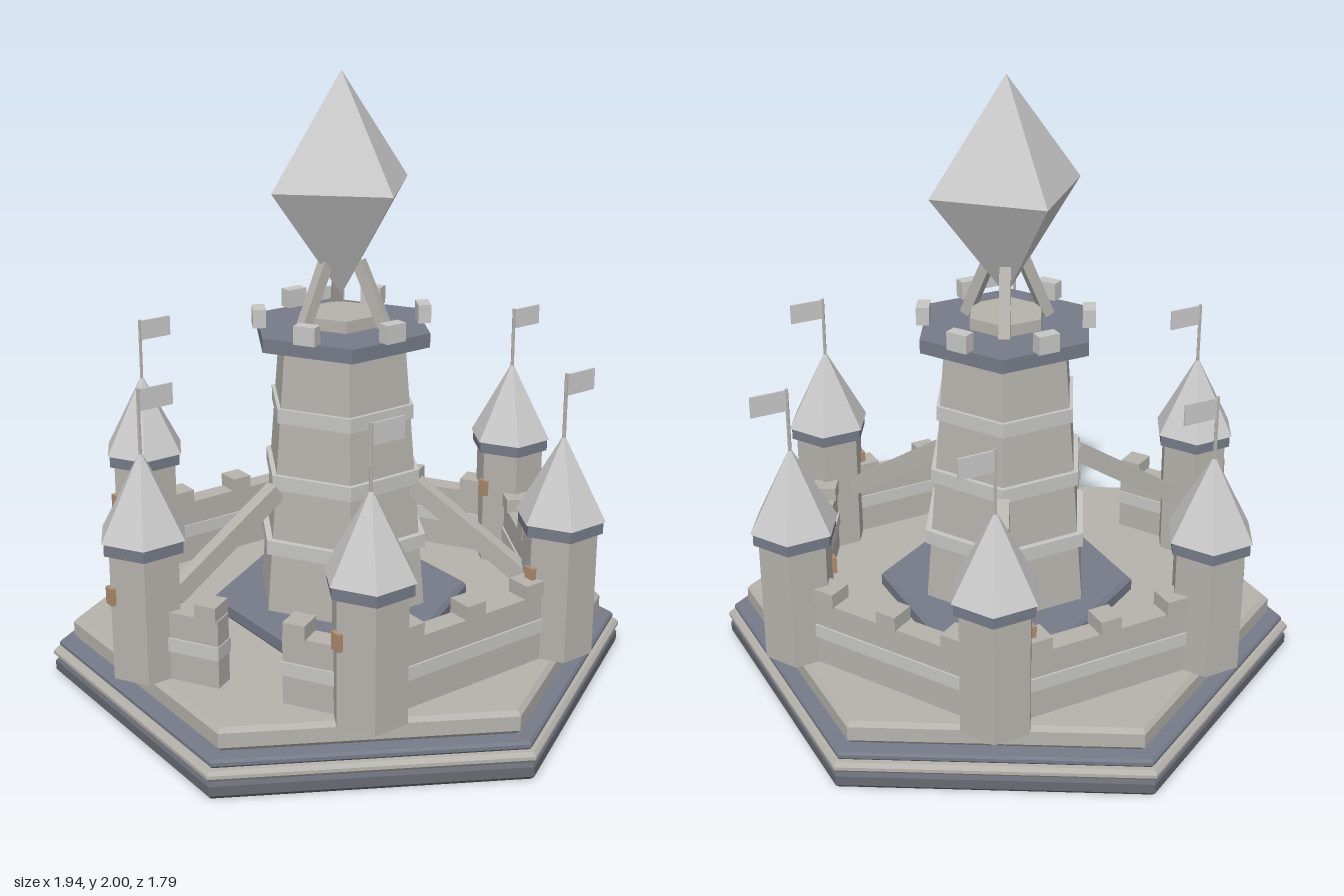
import * as THREE from 'three';

const mat = (name, color) => new THREE.MeshStandardMaterial({ name, color });

export function createModel() {
  const stone = mat('stone', 0xb6b3ad);
  const trim = mat('pale trim', 0xc6c6c5);
  const slate = mat('slate', 0x767b88);
  const foundation = mat('dark foundation', 0x676a72);
  const silver = mat('silver', 0xc9c9c9);
  const wood = mat('wood', 0xb08e70);
  const model = new THREE.Group();
  model.name = 'castle';

  // Faceted mesh: every face gets its own normal
  function add(parent, name, geometry, material, x = 0, y = 0, z = 0) {
    const g = geometry.index ? geometry.toNonIndexed() : geometry;
    g.computeVertexNormals();
    const mesh = new THREE.Mesh(g, material);
    mesh.name = name;
    mesh.position.set(x, y, z);
    parent.add(mesh);
    return mesh;
  }
  function group(parent, name, x = 0, y = 0, z = 0, turn = 0) {
    const g = new THREE.Group();
    g.name = name;
    g.position.set(x, y, z);
    g.rotation.y = turn;
    parent.add(g);
    return g;
  }
  const box = (w, h, d) => new THREE.BoxGeometry(w, h, d);
  // Six-sided prism between two heights, with a corner towards +z
  const hex = (parent, name, rBottom, rTop, y0, y1, material) =>
    add(parent, name, new THREE.CylinderGeometry(rTop, rBottom, y1 - y0, 6), material, 0, (y0 + y1) / 2);
  // Six-sided slab with bevelled rims and corners towards +x and -x
  function slab(name, r, y0, y1, b, material) {
    const profile = [[0, y0], [r - b, y0], [r, y0 + b], [r, y1 - b], [r - b, y1], [0, y1]];
    const points = profile.map(([x, y]) => new THREE.Vector2(x, y));
    add(model, name, new THREE.LatheGeometry(points, 6, Math.PI / 6), material);
  }
  // Bar in the local yz plane from (z0, y0) to (z1, y1)
  function beam(parent, name, w, h, z0, y0, z1, y1, material) {
    const dy = y1 - y0, dz = z1 - z0;
    const m = add(parent, name, box(w, h, Math.hypot(dy, dz)), material, 0, (y0 + y1) / 2, (z0 + z1) / 2);
    m.rotation.x = -Math.atan2(dy, dz);
  }

  // Stepped base
  slab('foundation', 0.967, 0, 0.06, 0.014, foundation);
  slab('baseTrim', 0.972, 0.06, 0.095, 0.012, stone);
  slab('baseStep', 0.95, 0.095, 0.122, 0.008, slate);
  slab('courtyard', 0.9, 0.122, 0.2, 0.015, stone);
  slab('keepPlinth', 0.43, 0.2, 0.265, 0.014, slate);

  // Tapered keep with three bands
  const keep = group(model, 'keep');
  hex(keep, 'keepBody', 0.298, 0.222, 0.26, 1.15, stone);
  [[0.49, 0.299], [0.71, 0.275], [0.93, 0.252]].forEach(([y, r]) =>
    hex(keep, 'keepBand', r, r, y - 0.024, y + 0.024, trim));
  hex(keep, 'keepPlatform', 0.305, 0.305, 1.15, 1.196, slate);
  hex(keep, 'crystalPedestal', 0.13, 0.13, 1.196, 1.235, stone);
  for (let k = 0; k < 6; k++) {
    const side = group(keep, 'keepMerlon', 0, 0, 0, k * Math.PI / 3);
    add(side, 'merlon', box(0.042, 0.06, 0.072), trim, 0.265, 1.226, 0);
  }

  // Crystal on three leaning struts, and three sloping buttresses below
  const crystal = add(model, 'crystal', new THREE.OctahedronGeometry(1), silver, 0, 1.645, 0);
  crystal.scale.set(0.265, 0.355, 0.265);
  for (let k = 0; k < 3; k++) {
    const arm = group(model, 'supportArm', 0, 0, 0, k * Math.PI * 2 / 3);
    beam(arm, 'crystalStrut', 0.036, 0.036, 0.15, 1.2, 0.06, 1.405, stone);
    beam(arm, 'buttress', 0.046, 0.06, 0.26, 0.68, 0.65, 0.42, stone);
  }

  // Six corner towers, all flags and windows facing the same way
  for (let k = 0; k < 6; k++) {
    const a = k * Math.PI / 3;
    const tower = group(model, 'tower', 0.75 * Math.sin(a), 0, 0.75 * Math.cos(a));
    hex(tower, 'towerBody', 0.121, 0.121, 0.2, 0.62, stone);
    hex(tower, 'towerCornice', 0.138, 0.138, 0.615, 0.655, slate);
    add(tower, 'towerRoof', new THREE.ConeGeometry(0.145, 0.27, 6), silver, 0, 0.79, 0);
    add(tower, 'flagPole', new THREE.CylinderGeometry(0.006, 0.006, 0.21, 6), stone, 0, 1.015, 0);
    add(tower, 'flag', box(0.006, 0.068, 0.115), silver, 0, 1.083, -0.06);
    add(tower, 'window', box(0.036, 0.056, 0.016), wood, 0, 0.48, 0.12);
  }

  // Curtain walls: four whole, one with a gate, one with an open gap
  function wallPiece(parent, z, length, merlons) {
    add(parent, 'wall', box(0.07, 0.225, length), stone, 0.65, 0.3125, z);
    add(parent, 'wallBand', box(0.082, 0.045, length + 0.006), trim, 0.65, 0.318, z);
    merlons.forEach((m) => add(parent, 'wallMerlon', box(0.082, 0.048, 0.072), stone, 0.65, 0.447, m));
  }
  for (let k = 0; k < 6; k++) {
    const side = group(model, 'curtainWall', 0, 0, 0, k * Math.PI / 3);
    if (k < 4) {
      wallPiece(side, 0, 0.55, [-0.24, 0, 0.24]);
    } else {
      [-1, 1].forEach((s) => wallPiece(side, s * 0.195, 0.175, [s * 0.148]));
    }
    if (k === 4) {
      add(side, 'gate', box(0.03, 0.195, 0.215), wood, 0.65, 0.2975, 0);
      add(side, 'gateBar', box(0.038, 0.02, 0.215), trim, 0.65, 0.35, 0);
    }
  }
  return model;
}
